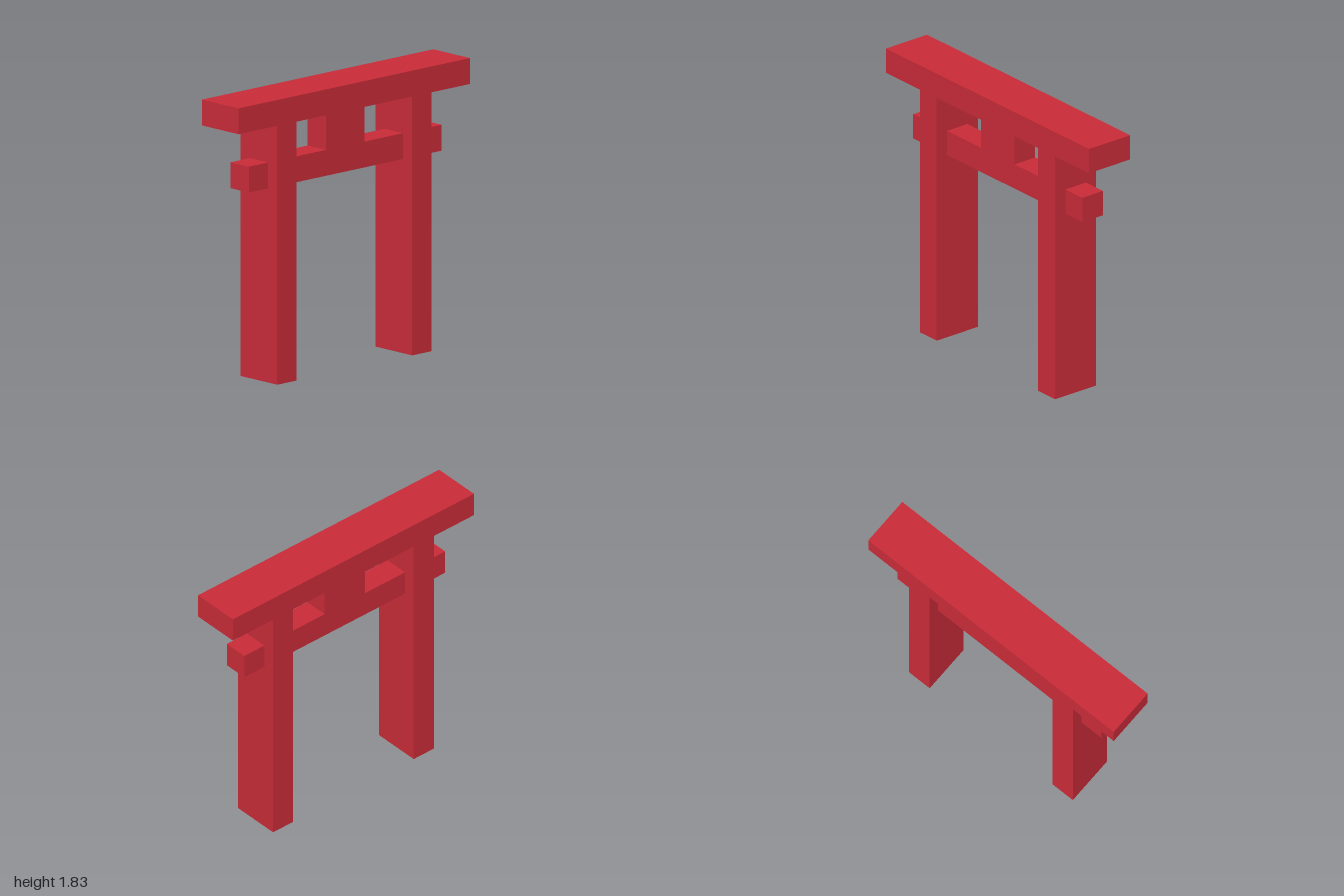
import * as THREE from 'three';

const U = 1 / 6; // the gate is laid out on a regular module

export function createModel() {
  const gate = new THREE.Group();
  gate.name = 'gate';
  const red = new THREE.MeshStandardMaterial({ color: 0xc92c39, flatShading: true });

  // Box sized in modules, placed by its centre x and bottom y
  function addBox(name, width, height, depth, x, bottom) {
    const mesh = new THREE.Mesh(new THREE.BoxGeometry(width * U, height * U, depth * U), red);
    mesh.name = name;
    mesh.position.set(x * U, (bottom + height / 2) * U, 0);
    gate.add(mesh);
  }

  // Two deep posts
  for (const [side, s] of [['left', 1], ['right', -1]]) {
    addBox(side + 'Post', 1, 10, 2, s * 3.5, 0);
  }

  // Top lintel, lower tie beam through the posts, and the strut between them
  addBox('topLintel', 12, 1, 2, 0, 10);
  addBox('tieBeam', 10, 1, 1, 0, 7.5);
  addBox('centreStrut', 2, 1.5, 1, 0, 8.5);

  return gate;
}
